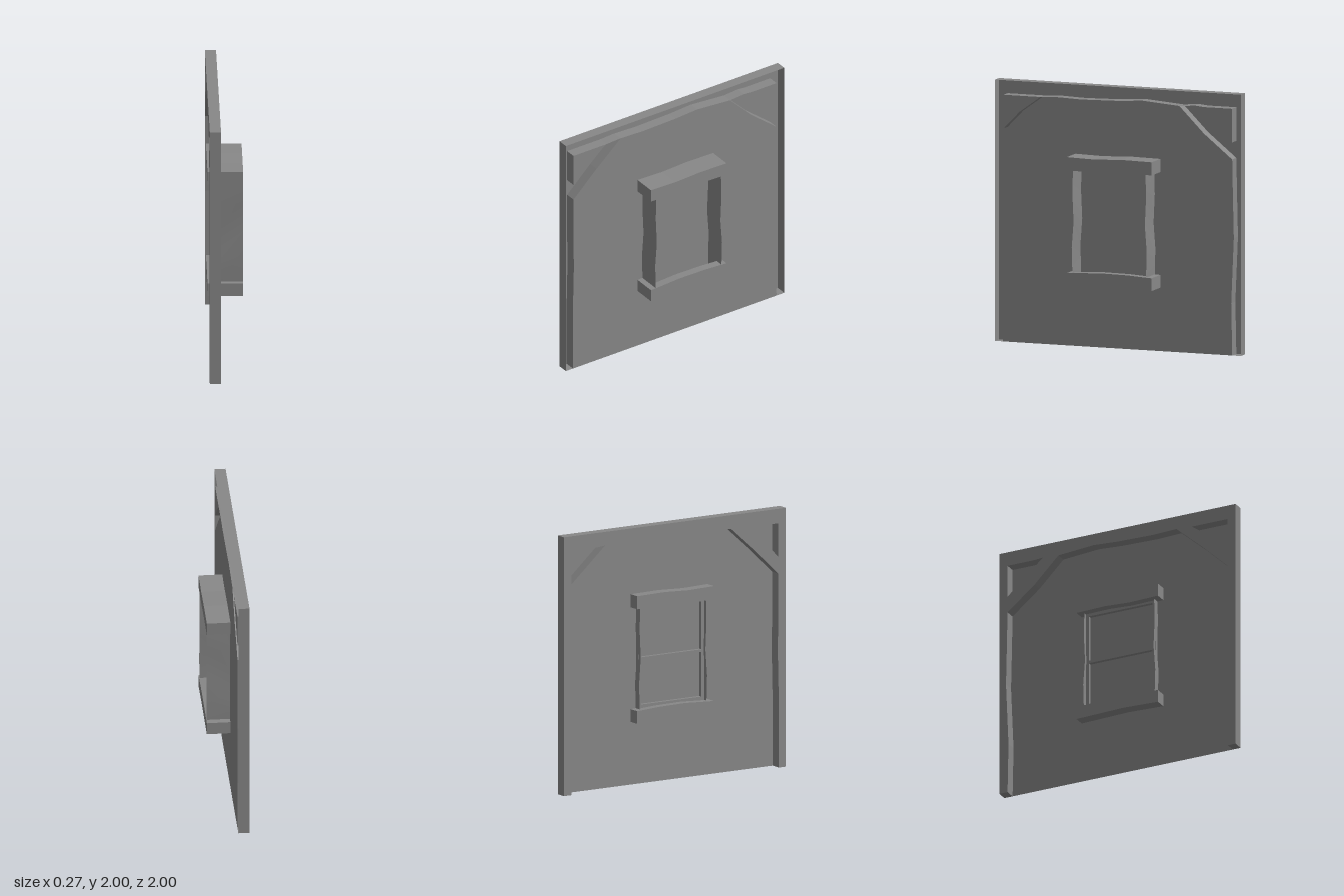
import * as THREE from 'three';
import { mergeVertices } from 'three/addons/utils/BufferGeometryUtils.js';

const BACK = -0.13, WALL = -0.045, LIP = 0.07, FRONT = 0.135;
const material = new THREE.MeshStandardMaterial({ color: 0x888888, side: THREE.DoubleSide });

// Outlines are [a, y] pairs in the wall plane, with a = -z.
const toShape = (points) => new THREE.Shape(points.map(([a, y]) => new THREE.Vector2(a, y)));

function add(group, name, geometry) {
  const mesh = new THREE.Mesh(geometry, material);
  mesh.name = name;
  group.add(mesh);
}

// Flat sheet at depth x
function sheet(shapes, x) {
  return new THREE.ShapeGeometry(shapes).rotateY(Math.PI / 2).translate(x, 0, 0);
}

// Solid slab between two depths
function slab(shape, x0, x1) {
  return new THREE.ExtrudeGeometry(shape, { depth: x1 - x0, bevelEnabled: false })
    .rotateY(Math.PI / 2).translate(x0, 0, 0);
}

// Strip that follows an outline between two depths, faceted or smooth
function ribbon(points, x0, x1, { closed = true, smooth = false } = {}) {
  const positions = [];
  const count = closed ? points.length : points.length - 1;
  for (let i = 0; i < count; i++) {
    const [a, y] = points[i], [b, v] = points[(i + 1) % points.length];
    positions.push(x0, y, -a, x1, y, -a, x1, v, -b, x0, y, -a, x1, v, -b, x0, v, -b);
  }
  let geometry = new THREE.BufferGeometry();
  geometry.setAttribute('position', new THREE.Float32BufferAttribute(positions, 3));
  if (smooth) geometry = mergeVertices(geometry);
  geometry.computeVertexNormals();
  return geometry;
}

export function createModel() {
  const model = new THREE.Group();
  model.name = 'wallPanel';

  // Uneven hewn opening inside the posts, braces and top beam
  const opening = [
    [-0.935, 0], [-0.937, 0.45], [-0.927, 0.9], [-0.932, 1.25], [-0.93, 1.5],
    [-0.72, 1.7], [-0.5, 1.895], [-0.3, 1.888], [0, 1.895], [0.2, 1.908], [0.5, 1.885],
    [0.7, 1.685], [0.93, 1.5], [0.935, 1.25], [0.943, 0.9], [0.922, 0.4], [0.93, 0],
  ];
  // Triangular openings above the corner braces
  const corners = [
    [[-0.93, 1.63], [-0.8, 1.765], [-0.63, 1.888], [-0.93, 1.888]],
    [[0.93, 1.63], [0.8, 1.745], [0.63, 1.895], [0.7, 1.888], [0.93, 1.888]],
  ];

  // Timber frame: a shell that is open towards the wall
  const outline = [[-1, 0], ...opening, [1, 0], [1, 2], [-1, 2]];
  const face = toShape(outline);
  face.holes = corners.map(toShape);
  const frame = new THREE.Group();
  frame.name = 'timberFrame';
  add(frame, 'frameFace', sheet(face, BACK));
  add(frame, 'frameSides', ribbon(outline, BACK, WALL));
  corners.forEach((c) => add(frame, 'braceCornerSides', ribbon(c, BACK, WALL)));
  // Underside of the beam carries on across the brace ends
  add(frame, 'beamEnd', ribbon([[-0.63, 1.888], [-0.5, 1.895]], BACK, WALL, { closed: false }));
  add(frame, 'beamEnd', ribbon([[0.5, 1.885], [0.63, 1.895]], BACK, WALL, { closed: false }));
  model.add(frame);

  // Thin wall filling the openings
  add(model, 'wall', sheet([toShape(opening), ...corners.map(toShape)], WALL));

  // Lintel and sill: hollow between the side boards, behind a front lip
  const win = new THREE.Group();
  win.name = 'window';
  const caps = {
    lintel: {
      outer: [[0.3, 1.371], [0.345, 1.37], [0.345, 1.471], [0.1, 1.475],
        [-0.12, 1.465], [-0.345, 1.471], [-0.345, 1.37], [-0.3, 1.369]],
      inner: [[-0.1, 1.364], [0.1, 1.376]],
    },
    sill: {
      outer: [[-0.3, 0.585], [-0.345, 0.583], [-0.345, 0.485], [-0.05, 0.496],
        [0.345, 0.485], [0.345, 0.583], [0.3, 0.585]],
      inner: [[0.15, 0.594], [-0.08, 0.597]],
    },
  };
  for (const [name, { outer, inner }] of Object.entries(caps)) {
    const profile = toShape([...outer, ...inner]);
    add(win, name + 'Back', slab(profile, -0.135, WALL - 0.001));
    add(win, name + 'Middle', ribbon(outer, WALL - 0.001, LIP, { closed: false }));
    add(win, name + 'Lip', slab(profile, LIP, FRONT));
  }

  // Thin wavy side boards, let into the lintel and sill
  for (const side of [-1, 1]) {
    const board = [[0.3, 0.5], [0.3, 0.6], [0.305, 0.78], [0.29, 0.98], [0.3, 1.2], [0.295, 1.375], [0.298, 1.455]]
      .map(([a, y]) => [a * side, y]);
    add(win, side < 0 ? 'leftJamb' : 'rightJamb',
      ribbon(board, -0.1, FRONT - 0.002, { closed: false, smooth: true }));
  }

  // Slim sash with a middle bar on the recessed side
  const rect = (a0, a1, y0, y1) => toShape([[a0, y0], [a1, y0], [a1, y1], [a0, y1]]);
  const sash = rect(-0.295, 0.295, 0.58, 1.375);
  sash.holes = [rect(-0.27, 0.27, 0.615, 0.96), rect(-0.27, 0.27, 0.98, 1.35)];
  add(win, 'sash', slab(sash, -0.075, WALL - 0.001));
  model.add(win);

  return model;
}
